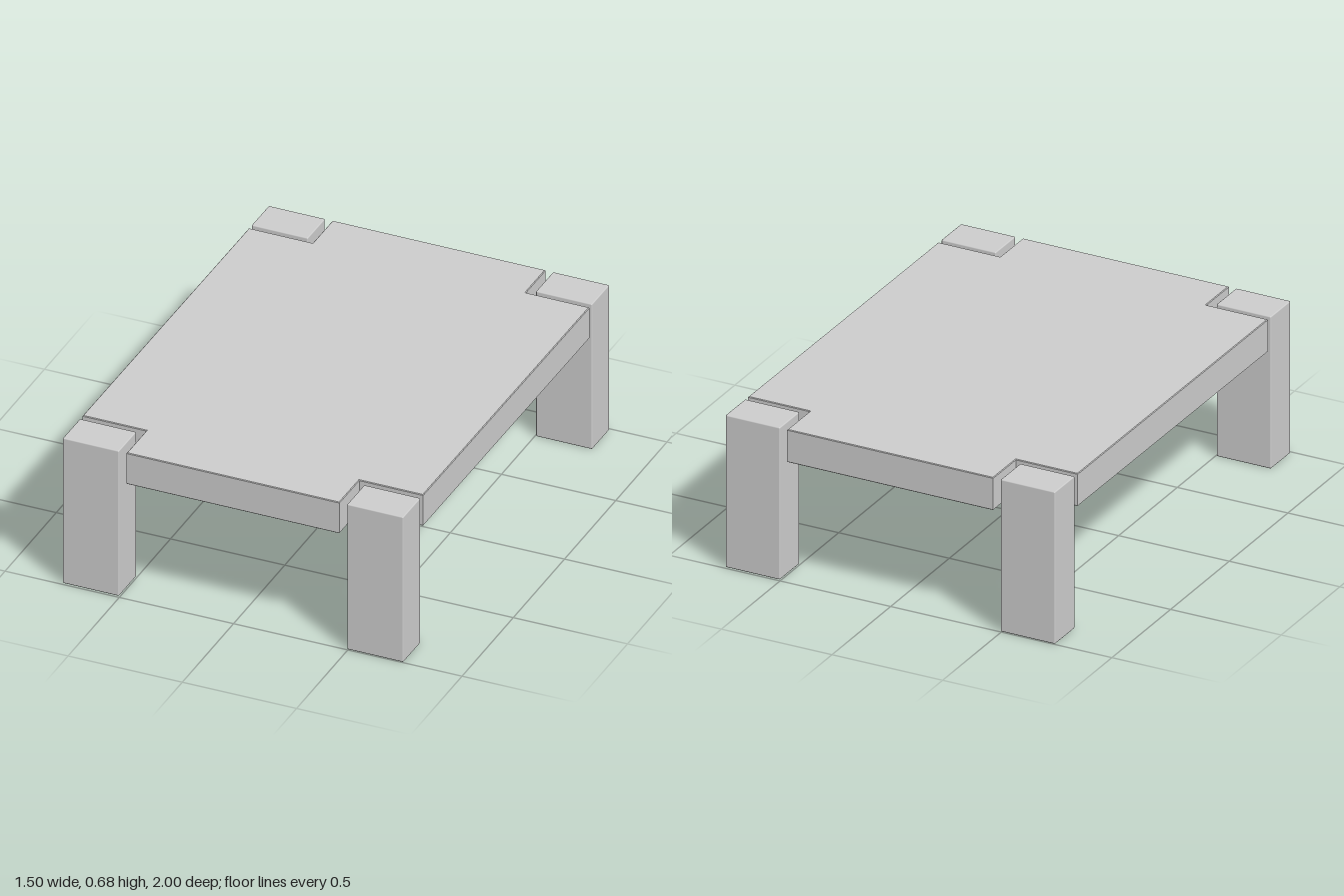
import * as THREE from 'three';
import { RoundedBoxGeometry } from 'three/addons/geometries/RoundedBoxGeometry.js';

const HEIGHT = 0.675, TOP_BOTTOM = 0.53, BEVEL = 0.003;
const HALF_X = 0.747, HALF_Z = 0.995; // outer half sizes
const NOTCH_X = 0.467, NOTCH_Z = 0.803; // inner corner of each notch
const LEG_X = 0.5, LEG_Z = 0.828; // inner corner of each leg

export function createModel() {
  const table = new THREE.Group();
  table.name = 'lowTable';
  const material = new THREE.MeshStandardMaterial({ color: 0xcccccc });

  // Slab with a notch at every corner, inset by the bevel
  const hx = HALF_X - BEVEL, hz = HALF_Z - BEVEL;
  const nx = NOTCH_X - BEVEL, nz = NOTCH_Z - BEVEL;
  const outline = new THREE.Shape([
    [nx, -hz], [nx, -nz], [hx, -nz], [hx, nz], [nx, nz], [nx, hz],
    [-nx, hz], [-nx, nz], [-hx, nz], [-hx, -nz], [-nx, -nz], [-nx, -hz],
  ].map(([x, y]) => new THREE.Vector2(x, y)));
  const slab = new THREE.ExtrudeGeometry(outline, {
    depth: HEIGHT - TOP_BOTTOM - 2 * BEVEL,
    bevelThickness: BEVEL, bevelSize: BEVEL, bevelSegments: 1,
  });
  slab.rotateX(-Math.PI / 2);
  const tableTop = new THREE.Mesh(slab, material);
  tableTop.name = 'tableTop';
  tableTop.position.y = TOP_BOTTOM + BEVEL;
  table.add(tableTop);

  // Free-standing block legs, separated from the notches by a narrow gap
  const legShape = new RoundedBoxGeometry(HALF_X - LEG_X, HEIGHT, HALF_Z - LEG_Z, 2, 0.005);
  for (const [endName, sz] of [['front', 1], ['back', -1]]) {
    for (const [sideName, sx] of [['Left', 1], ['Right', -1]]) {
      const leg = new THREE.Mesh(legShape, material);
      leg.name = `${endName}${sideName}Leg`;
      leg.position.set(sx * (HALF_X + LEG_X) / 2, HEIGHT / 2, sz * (HALF_Z + LEG_Z) / 2);
      table.add(leg);
    }
  }

  // The table stands very slightly turned
  table.rotation.y = -0.005;
  const model = new THREE.Group();
  model.add(table);
  return model;
}
